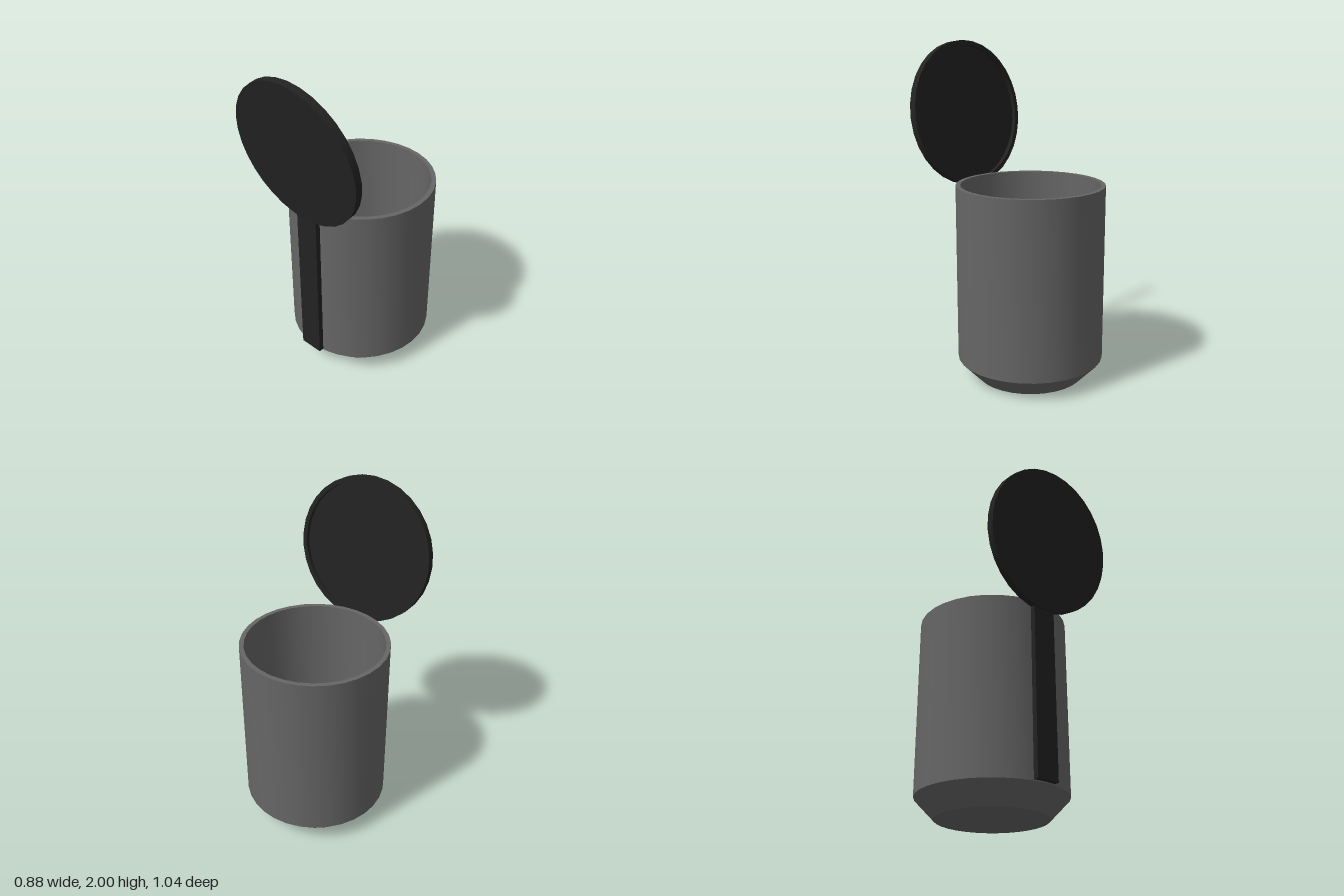
import * as THREE from 'three';
import { toCreasedNormals } from 'three/addons/utils/BufferGeometryUtils.js';

const SIDES = 32;
const RADIUS = 0.44;
const WALL = 0.027;
const INNER = RADIUS - WALL;
const BODY_Z = -0.08;

const shell = new THREE.MeshStandardMaterial({ color: 0x666666 });
const dark = new THREE.MeshStandardMaterial({ color: 0x222222 });

// Turned solid: round sides stay smooth, profile corners stay sharp
function turned(profile) {
  const points = profile.map(([r, y]) => new THREE.Vector2(r, y));
  return toCreasedNormals(new THREE.LatheGeometry(points, SIDES), 0.6);
}

function add(parent, name, geometry, material, x, y, z) {
  const mesh = new THREE.Mesh(geometry, material);
  mesh.name = name;
  mesh.position.set(x, y, z);
  parent.add(mesh);
  return mesh;
}

export function createModel() {
  const model = new THREE.Group();
  model.name = 'openCanister';

  // Hollow body with straight walls
  add(model, 'body', turned([
    [RADIUS, 0.12], [RADIUS, 1.18], [INNER, 1.18], [INNER, 0.12], [0, 0.12],
  ]), shell, 0, 0, BODY_Z);

  // Tapered foot
  add(model, 'base', turned([[0, 0], [0.325, 0], [RADIUS, 0.12]]), shell, 0, 0, BODY_Z);

  // Flat strip running up the front to the lid
  add(model, 'frontStrip', new THREE.BoxGeometry(0.146, 1.01, 0.04), dark, 0, 0.632, 0.365);

  // Lid: shallow dish, swung open with its recess towards the body
  const thick = 0.045;
  const lidGeometry = turned([
    [0, 0], [RADIUS, 0], [RADIUS, thick], [INNER, thick], [INNER, thick - WALL], [0, thick - WALL],
  ]);
  lidGeometry.translate(0, -thick / 2, 0);
  const lid = add(model, 'lid', lidGeometry, dark, 0, 1.561, 0.437);
  lid.rotation.x = THREE.MathUtils.degToRad(-82);

  return model;
}
